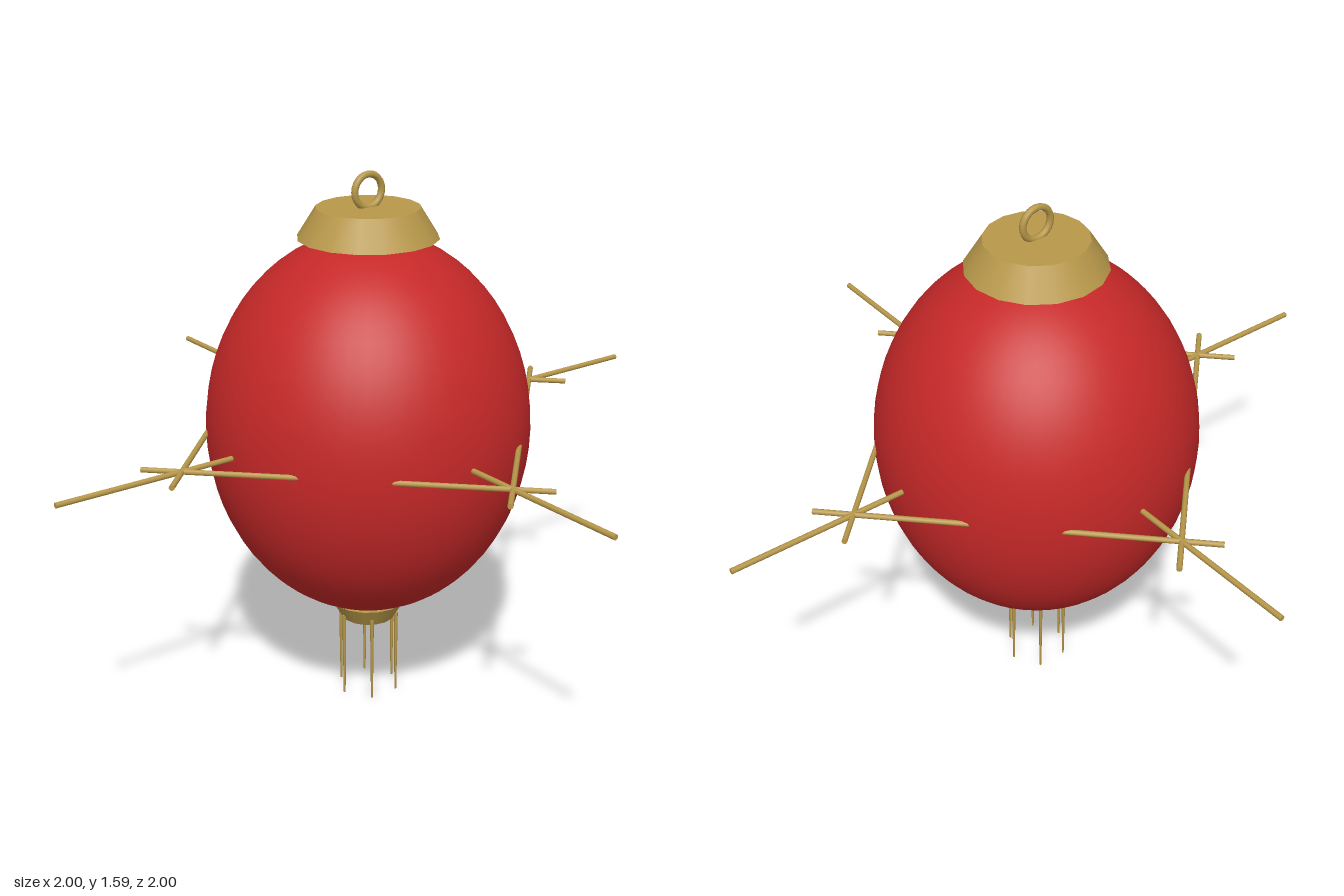
import * as THREE from 'three';

export function createModel() {
  const model = new THREE.Group();
  const red = new THREE.MeshStandardMaterial({ color: 0xc62828 });
  const gold = new THREE.MeshStandardMaterial({ color: 0xb8984a });
  const MID = 0.857;

  function add(name, geometry, material, x = 0, y = 0, z = 0, parent = model) {
    const mesh = new THREE.Mesh(geometry, material);
    mesh.name = name;
    mesh.position.set(x, y, z);
    parent.add(mesh);
    return mesh;
  }

  // Egg-shaped lantern body
  const body = new THREE.SphereGeometry(0.467, 48, 32);
  body.scale(1, 0.56 / 0.467, 1);
  add('body', body, red, 0, MID, 0);

  // Collars above and below, and the hanging ring
  add('topCap', new THREE.CylinderGeometry(0.147, 0.2, 0.085, 16), gold, 0, 1.448, 0);
  add('bottomCap', new THREE.CylinderGeometry(0.113, 0.08, 0.057, 16), gold, 0, 0.269, 0);
  add('hangingRing', new THREE.TorusGeometry(0.046, 0.01, 8, 24), gold, 0, 1.535, 0);

  // Tassel of six tapering strands
  const tassel = new THREE.Group();
  tassel.name = 'tassel';
  model.add(tassel);
  const strand = new THREE.CylinderGeometry(0.006, 0.003, 0.26, 6);
  for (let i = 0; i < 6; i++) {
    const a = (i * Math.PI) / 3;
    add('strand', strand, gold, 0.09 * Math.cos(a), 0.13, 0.09 * Math.sin(a), tassel);
  }

  // Four outward spikes, and four diagonal rods crossing them in a square
  const frame = new THREE.Group();
  frame.name = 'rodFrame';
  frame.position.y = MID;
  model.add(frame);
  const spike = new THREE.CylinderGeometry(0.008, 0.008, 0.6, 8).rotateZ(Math.PI / 2);
  const diagonal = new THREE.CylinderGeometry(0.008, 0.008, 1.11, 8).rotateX(Math.PI / 2);
  for (let i = 0; i < 4; i++) {
    const side = new THREE.Group();
    side.name = 'rodSide';
    side.rotation.y = (i * Math.PI) / 2;
    frame.add(side);
    add('spike', spike, gold, 0.7, 0, 0, side);
    add('diagonalRod', diagonal, gold, 0.3125, 0, 0.3125, side).rotation.y = -Math.PI / 4;
  }
  return model;
}
